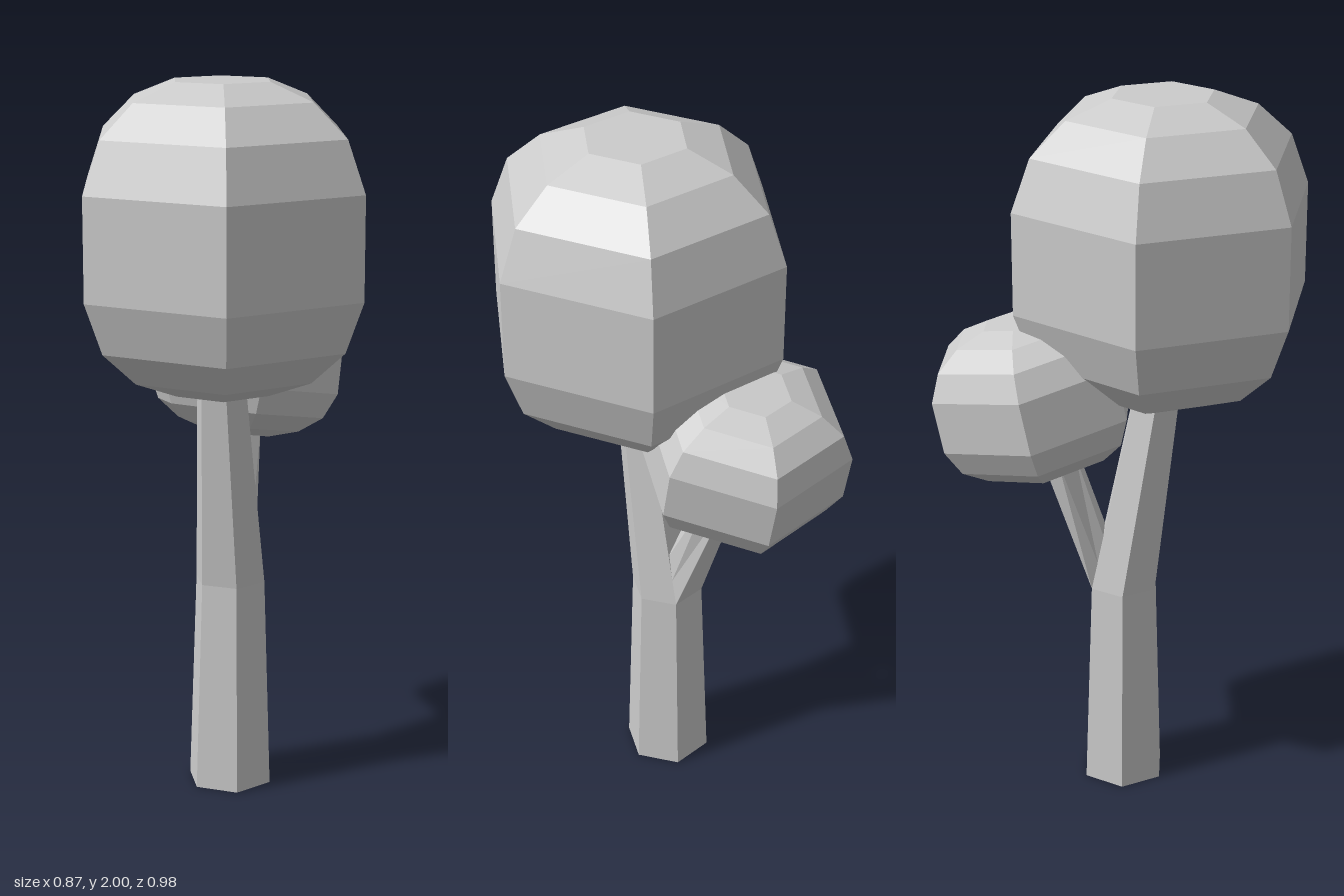
import * as THREE from 'three';

const SIDES = 6;
const material = new THREE.MeshStandardMaterial({ color: 0xcccccc, flatShading: true });

// Horizontal hexagon; startDeg is measured from +x towards +z
function ring(x, y, z, radius, startDeg) {
  return Array.from({ length: SIDES }, (_, i) => {
    const a = THREE.MathUtils.degToRad(startDeg + i * 360 / SIDES);
    return new THREE.Vector3(x + radius * Math.cos(a), y, z + radius * Math.sin(a));
  });
}

// Skin a stack of rings from bottom to top and close both ends
function loft(name, rings) {
  const pos = [];
  const tri = (...pts) => pts.forEach(p => pos.push(p.x, p.y, p.z));
  for (let r = 0; r < rings.length - 1; r++) {
    const a = rings[r], b = rings[r + 1];
    for (let i = 0; i < SIDES; i++) {
      const j = (i + 1) % SIDES;
      tri(a[i], b[i], a[j]);
      tri(b[i], b[j], a[j]);
    }
  }
  const bottom = rings[0], top = rings[rings.length - 1];
  for (let i = 1; i < SIDES - 1; i++) {
    tri(bottom[0], bottom[i], bottom[i + 1]);
    tri(top[0], top[i + 1], top[i]);
  }
  const geometry = new THREE.BufferGeometry();
  geometry.setAttribute('position', new THREE.Float32BufferAttribute(pos, 3));
  geometry.computeVertexNormals();
  const mesh = new THREE.Mesh(geometry, material);
  mesh.name = name;
  return mesh;
}

// Rounded hexagonal crown: [radius, height] fractions of the upper half, mirrored below
const HALF = [[1, 0.335], [0.875, 0.67], [0.64, 0.885], [0.34, 1]];
function crown(name, radius, halfHeight, startDeg) {
  const profile = [...HALF.map(([r, h]) => [r, -h]).reverse(), ...HALF];
  return loft(name, profile.map(([r, h]) => ring(0, h * halfHeight, 0, r * radius, startDeg)));
}

export function createModel() {
  const tree = new THREE.Group();
  tree.name = 'tree';

  // Trunk: tapers, then bends towards the large crown
  tree.add(loft('trunk', [
    ring(-0.018, 0, -0.012, 0.122, 90),
    ring(-0.015, 0.6, -0.012, 0.102, 90),
    ring(0.04, 1.19, 0.065, 0.07, 90),
  ]));

  // Branch: grows out of the back face of the trunk, from a sloping base
  const base = [
    [0.0, 0.75, -0.08], [-0.078, 0.75, -0.036], [-0.091, 0.675, -0.049],
    [-0.103, 0.6, -0.063], [-0.015, 0.6, -0.114], [-0.006, 0.675, -0.098],
  ].map(p => new THREE.Vector3(...p));
  tree.add(loft('branch', [base, ring(-0.13, 1.01, -0.152, 0.056, 30)]));

  // Large crown
  const large = crown('largeCrown', 0.42, 0.4175, 38);
  large.position.set(0.05, 1.5825, 0.07);
  tree.add(large);

  // Small crown, leaning along the branch
  const small = crown('smallCrown', 0.288, 0.215, 30);
  small.position.set(-0.176, 1.183, -0.2);
  small.quaternion.setFromUnitVectors(
    new THREE.Vector3(0, 1, 0), new THREE.Vector3(-0.07, 1, -0.2).normalize());
  tree.add(small);

  return tree;
}
